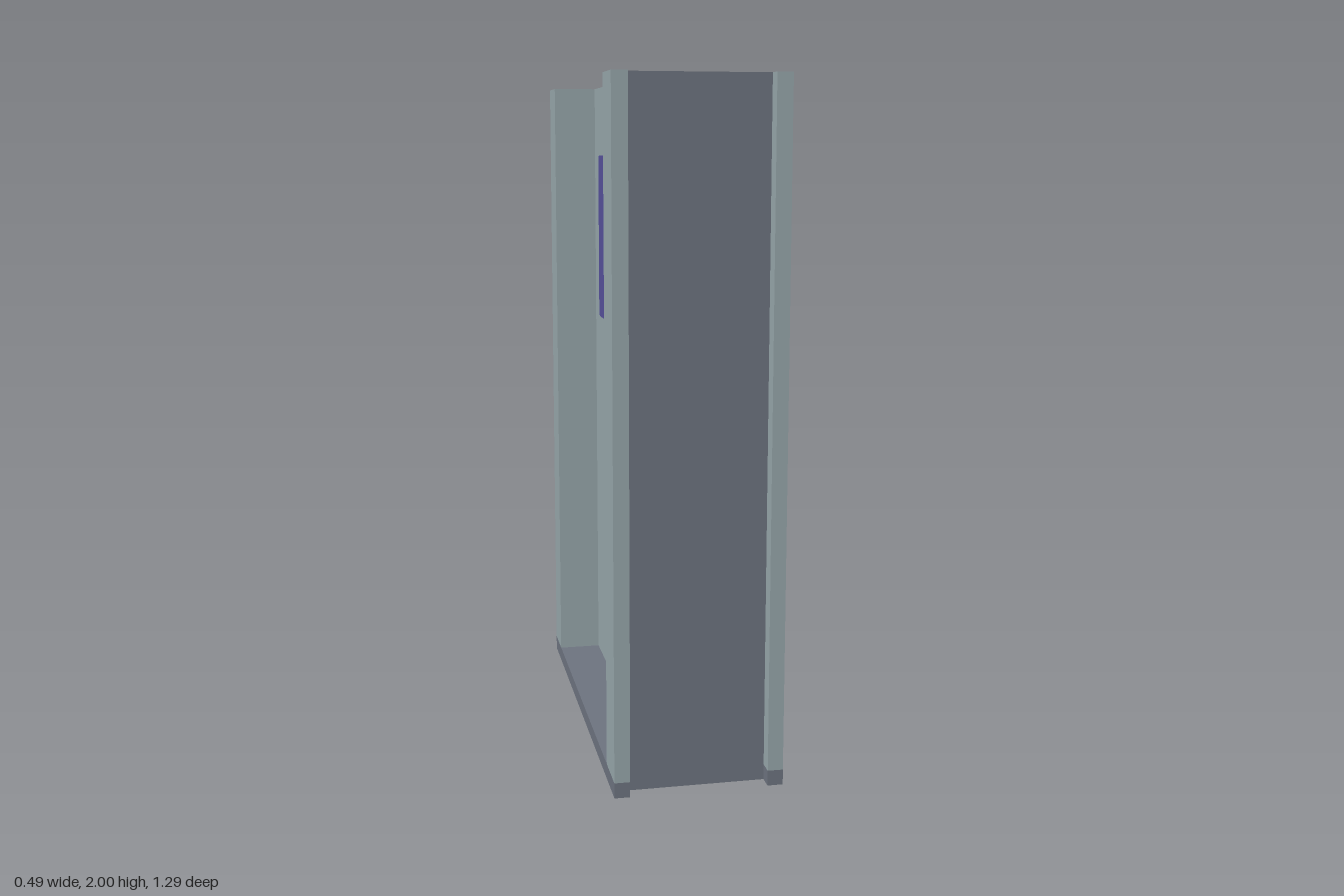
import * as THREE from 'three';

const BASE = 0.045, TOP = 2;

export function createModel() {
  const model = new THREE.Group();
  model.name = 'slidingDoor';

  const frameMat = new THREE.MeshStandardMaterial({ name: 'paleGreyGreen', color: 0x95a5a9 });
  const baseMat = new THREE.MeshStandardMaterial({ name: 'slateGrey', color: 0x6c727e });
  const glassMat = new THREE.MeshStandardMaterial({ name: 'violetGlass', color: 0x554f99 });

  const add = (name, geometry, material) => {
    const mesh = new THREE.Mesh(geometry, material);
    mesh.name = name;
    model.add(mesh);
    return mesh;
  };
  const box = (name, mat, x0, x1, y0, y1, z0, z1) =>
    add(name, new THREE.BoxGeometry(x1 - x0, y1 - y0, z1 - z0), mat)
      .position.set((x0 + x1) / 2, (y0 + y1) / 2, (z0 + z1) / 2);

  // Upright prism from a plan outline of [x, z] points
  const prism = (name, mat, plan, y0, y1) => {
    const shape = new THREE.Shape(plan.map(([x, z]) => new THREE.Vector2(x, -z)));
    const geometry = new THREE.ExtrudeGeometry(shape, { depth: y1 - y0, bevelEnabled: false });
    geometry.rotateX(-Math.PI / 2).translate(0, y0, 0);
    return add(name, geometry, mat);
  };

  // Floor plate with two feet reaching forward under the front posts
  prism('basePlate', baseMat, [
    [-0.245, -0.645], [0.245, -0.645], [0.245, 0.645], [0.2, 0.645],
    [0.2, 0.6], [-0.2, 0.6], [-0.2, 0.645], [-0.245, 0.645],
  ], 0, BASE);

  // Angle posts, one pair at each end
  for (const [side, s] of [['left', 1], ['right', -1]]) {
    prism(side + 'FrontPost', frameMat, [
      [0.155, 0.51], [0.245, 0.51], [0.245, 0.645], [0.2, 0.645],
      [0.2, 0.565], [0.192, 0.555], [0.155, 0.555],
    ].map(([x, z]) => [s * x, z]), BASE, TOP);
    prism(side + 'BackPost', frameMat, [
      [0.11, -0.515], [0.245, -0.515], [0.245, -0.645], [0.2, -0.645],
      [0.2, -0.555], [0.11, -0.555],
    ].map(([x, z]) => [s * x, z]), BASE, TOP);
  }

  // Thin panel closing the front
  box('frontPanel', baseMat, -0.2, 0.2, BASE, TOP, 0.594, 0.6);

  // Door core, with an outer skin holed for the recessed grip
  box('doorCore', frameMat, -0.07, 0.11, BASE, TOP, -0.645, 0.555);
  const skin = new THREE.Shape([
    [-0.645, BASE], [0.555, BASE], [0.555, TOP], [-0.645, TOP],
  ].map(([z, y]) => new THREE.Vector2(z, y)));
  skin.holes.push(new THREE.Path([
    [0.345, 0.84], [0.405, 0.84], [0.43, 0.87], [0.43, 1.13],
    [0.405, 1.16], [0.345, 1.16], [0.32, 1.13], [0.32, 0.87],
  ].map(([z, y]) => new THREE.Vector2(z, y))));
  const skinGeometry = new THREE.ExtrudeGeometry(skin, { depth: 0.04, bevelEnabled: false });
  skinGeometry.rotateY(-Math.PI / 2).translate(-0.07, 0, 0);
  add('doorSkinWithGrip', skinGeometry, frameMat);

  // Window on both faces, with clipped corners
  const c = 0.012, w = 0.425, y0 = 1.245, y1 = 1.78;
  const pane = new THREE.Shape([
    [-w + c, y0], [w - c, y0], [w, y0 + c], [w, y1 - c],
    [w - c, y1], [-w + c, y1], [-w, y1 - c], [-w, y0 + c],
  ].map(([z, y]) => new THREE.Vector2(z, y)));
  for (const [side, x] of [['left', 0.109], ['right', -0.113]]) {
    const geometry = new THREE.ExtrudeGeometry(pane, { depth: 0.004, bevelEnabled: false });
    geometry.rotateY(Math.PI / 2).translate(x, 0, 0);
    add(side + 'Window', geometry, glassMat);
  }

  return model;
}
